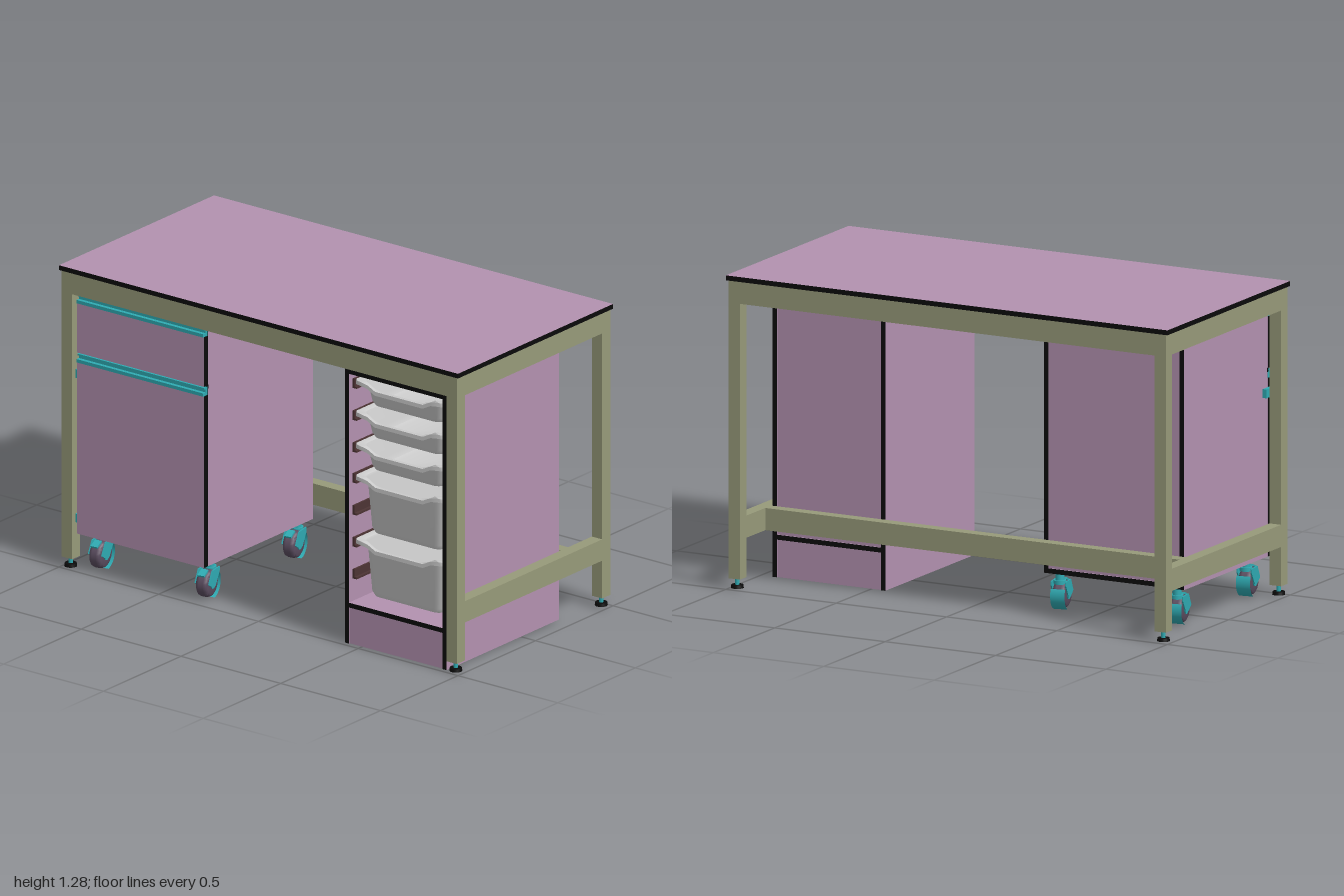
import * as THREE from 'three';
import { toCreasedNormals } from 'three/addons/utils/BufferGeometryUtils.js';

const mat = (color, side = THREE.FrontSide) => new THREE.MeshStandardMaterial({ color, side });
const PINK = mat(0xb391b0), OLIVE = mat(0x979a7a), BLACK = mat(0x0b0b0b), TEAL = mat(0x2fabb3);
const TEAL_THIN = mat(0x2fabb3, THREE.DoubleSide), TYRE = mat(0x5b4d60), BROWN = mat(0x4d3434);
const GREY = mat(0xcccccc, THREE.DoubleSide);

function add(parent, name, geometry, material, x = 0, y = 0, z = 0) {
  const mesh = new THREE.Mesh(geometry, material);
  mesh.name = name;
  mesh.position.set(x, y, z);
  parent.add(mesh);
  return mesh;
}

function group(parent, name, x = 0, y = 0, z = 0) {
  const g = new THREE.Group();
  g.name = name;
  g.position.set(x, y, z);
  parent.add(g);
  return g;
}

// Box given by its extents along each axis
function block(parent, name, [x0, x1], [y0, y1], [z0, z1], material) {
  return add(parent, name, new THREE.BoxGeometry(x1 - x0, y1 - y0, z1 - z0), material,
    (x0 + x1) / 2, (y0 + y1) / 2, (z0 + z1) / 2);
}

// Board with black edge banding on the faces across the listed axes
function board(parent, name, xs, ys, zs, banded) {
  const materials = ['x', 'x', 'y', 'y', 'z', 'z'].map(a => (banded.includes(a) ? BLACK : PINK));
  return block(parent, name, xs, ys, zs, materials);
}

// Legs, aprons, lower rails and levelling feet
function addFrame(root) {
  const frame = group(root, 'frame');
  const out = 0.99, inn = 0.938, zo = 0.495, zi = 0.443;
  for (const s of [-1, 1]) {
    const xs = s > 0 ? [inn, out] : [-out, -inn];
    for (const t of [-1, 1]) {
      const zs = t > 0 ? [zi, zo] : [-zo, -zi];
      block(frame, 'leg', xs, [0.04, 1.25], zs, OLIVE);
      const foot = group(frame, 'levellingFoot', s * 0.965, 0, t * 0.469);
      add(foot, 'pad', new THREE.CylinderGeometry(0.024, 0.026, 0.013, 20), BLACK, 0, 0.0065, 0);
      add(foot, 'screw', new THREE.CylinderGeometry(0.009, 0.009, 0.035, 12), TEAL, 0, 0.026, 0);
    }
    block(frame, 'sideApron', xs, [1.16, 1.25], [-zi, zi], OLIVE);
    block(frame, 'sideRail', xs, [0.2, 0.29], [-zi, zi], OLIVE);
    block(frame, 'longApron', [-inn, inn], [1.16, 1.25], s > 0 ? [zi, zo] : [-zo, -zi], OLIVE);
  }
  block(frame, 'rearRail', [-inn, inn], [0.2, 0.29], [-0.29, -0.24], OLIVE);
}

// Carcass: two sides, top, bottom and an inset back
function addCarcass(parent, [x0, x1], [y0, y1], [z0, z1], bottomY) {
  const t = 0.02;
  board(parent, 'sidePanel', [x0, x0 + t], [y0, y1], [z0, z1], 'z');
  board(parent, 'sidePanel', [x1 - t, x1], [y0, y1], [z0, z1], 'z');
  board(parent, 'topPanel', [x0 + t, x1 - t], [y1 - t, y1], [z0, z1], 'z');
  board(parent, 'bottomPanel', [x0 + t, x1 - t], [bottomY, bottomY + t], [z0, z1], 'z');
  board(parent, 'backPanel', [x0 + t, x1 - t], [bottomY + t, y1 - t], [z0 + 0.005, z0 + 0.015], '');
}

// Hooked pull strip running along x
function addPull(parent, x0, x1, y) {
  const h = 0.035;
  const profile = [[0.462, 0], [0.49, 0], [0.49, 0.014], [0.474, 0.014], [0.474, h - 0.007],
    [0.484, h - 0.007], [0.484, h], [0.462, h]];
  const shape = new THREE.Shape(profile.map(([z, v]) => new THREE.Vector2(-z, v)));
  const geo = new THREE.ExtrudeGeometry(shape, { depth: x1 - x0, bevelEnabled: false });
  add(parent, 'pullHandle', geo.rotateY(Math.PI / 2), TEAL, x0, y, 0);
}

// Swivel caster, axle offset forward of the stem
function addCaster(parent, x, z, yaw) {
  const c = group(parent, 'caster', x, 0, z);
  c.rotation.y = yaw;
  const r = 0.057, oz = 0.03;
  add(c, 'stem', new THREE.CylinderGeometry(0.018, 0.018, 0.05, 20), TEAL, 0, 0.126, 0);
  add(c, 'swivelCollar', new THREE.CylinderGeometry(0.026, 0.026, 0.014, 20), TEAL, 0, 0.112, 0);
  const tread = [[0.02, -0.026], [0.045, -0.026], [0.053, -0.021], [r, -0.01], [r, 0.01],
    [0.053, 0.021], [0.045, 0.026], [0.02, 0.026]].map(p => new THREE.Vector2(...p));
  const wheel = new THREE.LatheGeometry(tread, 32).rotateZ(Math.PI / 2);
  add(c, 'wheel', toCreasedNormals(wheel, 0.7), TYRE, 0, r, oz);
  add(c, 'hub', new THREE.CylinderGeometry(0.021, 0.021, 0.06, 20).rotateZ(Math.PI / 2), TEAL, 0, r, oz);
  // Fork arms from collar to axle
  const arm = new THREE.Shape([[0.014, -0.012], [-0.014, -0.012], [-0.045, 0.008], [-0.016, 0.058],
    [0.05, 0.058], [0.05, 0.04]].map(([a, b]) => new THREE.Vector2(a, b)));
  for (const s of [-1, 1]) {
    const geo = new THREE.ExtrudeGeometry(arm, { depth: 0.005, bevelEnabled: false });
    geo.translate(0, 0, -0.0025).rotateY(Math.PI / 2);
    add(c, 'forkArm', geo, TEAL, s * 0.03, r, oz);
  }
  const hood = new THREE.CylinderGeometry(0.063, 0.063, 0.06, 16, 1, true, Math.PI * 0.85, Math.PI * 0.6);
  add(c, 'hood', hood.rotateZ(Math.PI / 2), TEAL_THIN, 0, r, oz);
  add(c, 'brakeLever', new THREE.BoxGeometry(0.03, 0.008, 0.04), TEAL, 0, 0.108, oz + 0.035).rotation.x = 0.4;
}

// Castered cabinet with drawer over door
function addCabinet(root) {
  const cab = group(root, 'mobileCabinet');
  const xs = [-0.92, -0.285];
  addCarcass(cab, xs, [0.15, 1.16], [-0.22, 0.46], 0.15);
  board(cab, 'drawerFront', xs, [0.915, 1.125], [0.463, 0.485], 'xy');
  board(cab, 'doorFront', xs, [0.15, 0.875], [0.463, 0.485], 'xy');
  block(cab, 'frontGap', xs, [0.9, 0.917], [0.455, 0.466], BLACK);
  addPull(cab, ...xs, 1.125);
  addPull(cab, ...xs, 0.875);
  for (const y of [0.21, 0.82]) block(cab, 'hinge', [-0.937, -0.92], [y - 0.018, y + 0.018], [0.42, 0.475], TEAL);
  for (const z of [0.38, -0.18]) {
    addCaster(cab, -0.866, z, 0.15);
    addCaster(cab, -0.335, z, 0.2);
  }
}

// Rounded rectangle ring in plan
function ring(hx, hz, r, y) {
  const pts = [], n = 5, edge = 10;
  const corners = [[1, 1], [-1, 1], [-1, -1], [1, -1]];
  corners.forEach(([sx, sz], k) => {
    for (let i = 0; i <= n; i++) {
      const a = (k + i / n) * Math.PI / 2;
      pts.push(new THREE.Vector3(sx * (hx - r) + r * Math.cos(a), y, sz * (hz - r) + r * Math.sin(a)));
    }
    // Points along the straight side, so the rim can dip
    const last = pts[pts.length - 1];
    const [nx, nz] = corners[(k + 1) % 4], a = (k + 1) * Math.PI / 2;
    const next = new THREE.Vector3(nx * (hx - r) + r * Math.cos(a), y, nz * (hz - r) + r * Math.sin(a));
    for (let i = 1; i < edge; i++) pts.push(last.clone().lerp(next, i / edge));
  });
  return pts;
}

// Tapered open tray with a flange that dips at front and back
function trayGeometry(h) {
  const hz = 0.325, b = Math.min(0.012, h * 0.1);
  const sections = [[0.001, 0.001, 0.0005, 0, 0], [0.155, hz - 0.065, 0.03, 0, 0],
    [0.172, hz - 0.048, 0.035, b * 0.5, 0], [0.181, hz - 0.039, 0.035, b * 2.2, 0],
    [0.194, hz - 0.026, 0.035, h - 0.012, 1], [0.198, hz - 0.022, 0.035, h - 0.003, 1],
    [0.206, hz - 0.014, 0.035, h, 1], [0.228, hz, 0.03, h, 1], [0.23, hz + 0.001, 0.03, h - 0.016, 1]];
  const pos = [], idx = [];
  const rings = sections.map(([hx, z, r, y, dip]) => ring(hx, z, r, y).map(p => {
    const f = THREE.MathUtils.clamp((0.17 - Math.abs(p.x)) / 0.045, 0, 1);
    if (dip && Math.abs(p.z) > hz - 0.06) p.y -= 0.026 * f;
    return p;
  }));
  const n = rings[0].length;
  rings.flat().forEach(p => pos.push(p.x, p.y, p.z));
  for (let k = 0; k < rings.length - 1; k++) for (let i = 0; i < n; i++) {
    const a = k * n + i, c = k * n + (i + 1) % n;
    idx.push(a, a + n, c, c, a + n, c + n);
  }
  const geo = new THREE.BufferGeometry();
  geo.setAttribute('position', new THREE.Float32BufferAttribute(pos, 3));
  geo.setIndex(idx);
  return toCreasedNormals(geo, 0.7);
}

// Open unit on a hollow plinth, holding trays on runners
function addTrayUnit(root) {
  const unit = group(root, 'trayUnit');
  const z = [-0.235, 0.49];
  addCarcass(unit, [0.425, 0.935], [0, 1.16], z, 0.153);
  board(unit, 'plinthFront', [0.445, 0.915], [0, 0.153], [0.465, 0.485], '');
  board(unit, 'plinthBack', [0.445, 0.915], [0, 0.153], [-0.23, -0.21], '');
  for (const y of [1.095, 0.96, 0.825, 0.695, 0.56, 0.425, 0.29]) {
    for (const s of [-1, 1]) {
      const x = 0.68 + s * 0.225;
      block(unit, 'runner', [x - 0.01, x + 0.01], [y - 0.022, y - 0.014], [-0.2, 0.465], BROWN);
      block(unit, 'runner', [x + s * 0.006 - 0.004, x + s * 0.006 + 0.004], [y - 0.022, y + 0.018], [-0.2, 0.465], BROWN);
    }
  }
  const shallow = trayGeometry(0.112), deep = trayGeometry(0.245);
  for (const y of [0.998, 0.863, 0.727]) add(unit, 'shallowTray', shallow, GREY, 0.68, y, 0.145);
  for (const y of [0.46, 0.192]) add(unit, 'deepTray', deep, GREY, 0.68, y, 0.145);
}

export function createModel() {
  const root = new THREE.Group();
  root.name = 'workbench';
  board(root, 'worktop', [-1, 1], [1.25, 1.27], [-0.5, 0.5], 'xz');
  addFrame(root);
  addCabinet(root);
  addTrayUnit(root);
  return root;
}
